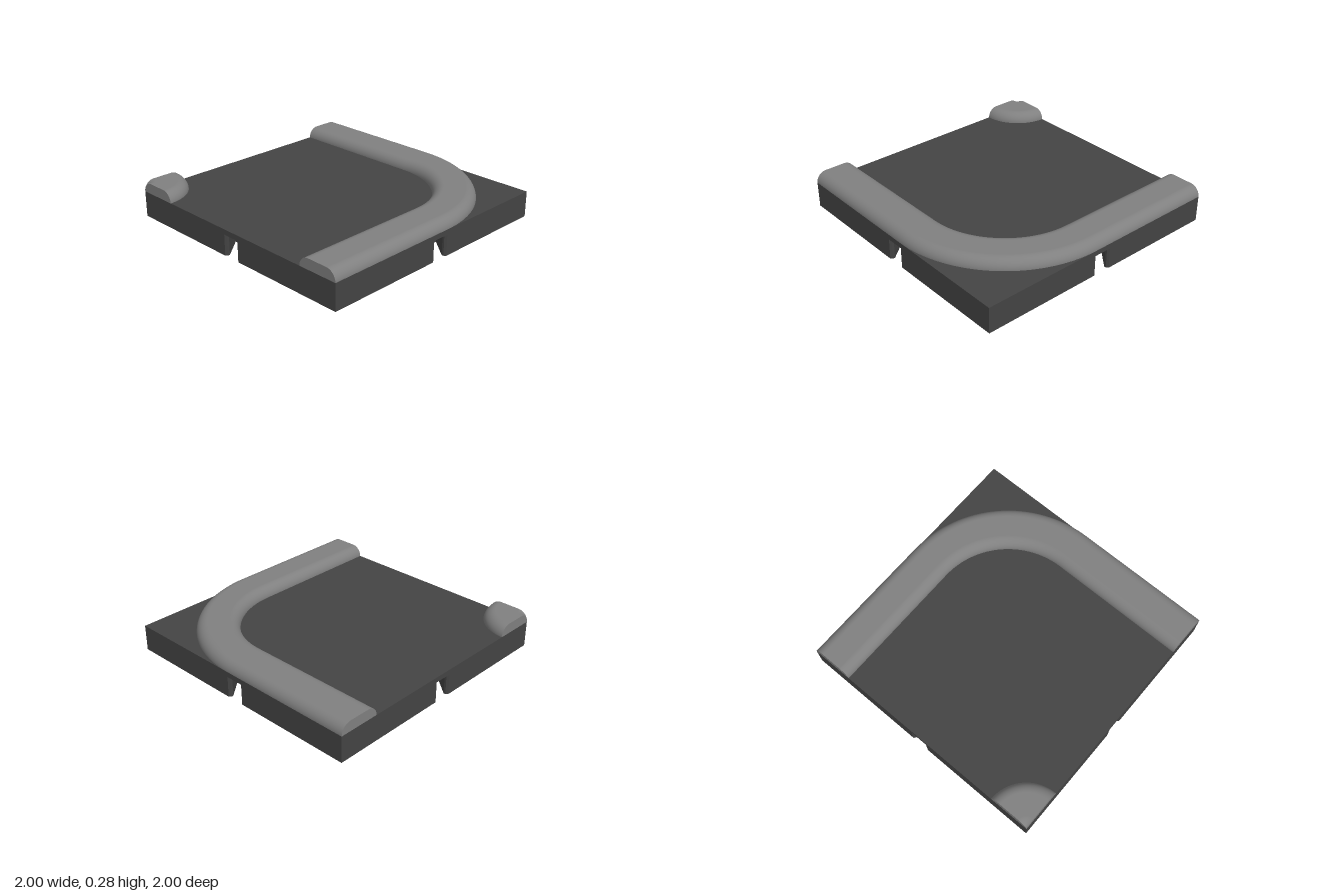
import * as THREE from 'three';

const BASE_TOP = 0.2, NOTCH_TOP = 0.16, KERB_WIDTH = 0.32, KERB_HEIGHT = 0.08;

// Kerb section from inner to outer edge: [offset, height, normal across, normal up]
function kerbSection(steps = 10) {
  const points = [];
  for (const centre of [KERB_HEIGHT, KERB_WIDTH - KERB_HEIGHT]) {
    const start = centre === KERB_HEIGHT ? Math.PI : Math.PI / 2;
    for (let i = 0; i <= steps; i++) {
      const a = start - (i / steps) * Math.PI / 2;
      const c = Math.cos(a), s = Math.sin(a);
      points.push([centre + KERB_HEIGHT * c, BASE_TOP + KERB_HEIGHT * s, c, s]);
    }
  }
  return points;
}

// Sweep the section along stations {x, z, angle}, with a flat cap on both ends
function sweepKerb(stations, innerRadius) {
  const section = kerbSection(), n = section.length;
  const position = [], normal = [], index = [];
  const addRing = (st, capNormal) => {
    const dx = Math.cos(st.angle), dz = Math.sin(st.angle);
    for (const [u, y, across, up] of section) {
      const r = innerRadius + u;
      position.push(st.x + dx * r, y, st.z + dz * r);
      normal.push(...(capNormal ?? [dx * across, up, dz * across]));
    }
  };
  stations.forEach((st) => addRing(st));
  for (let j = 0; j < stations.length - 1; j++) {
    for (let i = 0; i < n - 1; i++) {
      const a = j * n + i, b = a + n;
      index.push(a, a + 1, b, a + 1, b + 1, b);
    }
  }
  const first = stations.length * n, last = first + n;
  addRing(stations[0], [-1, 0, 0]);
  addRing(stations[stations.length - 1], [0, 0, -1]);
  for (let i = 1; i < n - 1; i++) {
    index.push(first, first + i + 1, first + i, last, last + i, last + i + 1);
  }
  const geometry = new THREE.BufferGeometry();
  geometry.setAttribute('position', new THREE.Float32BufferAttribute(position, 3));
  geometry.setAttribute('normal', new THREE.Float32BufferAttribute(normal, 3));
  geometry.setIndex(index);
  return geometry;
}

// Quarter turn around (x, z), from facing +z to facing +x
function quarterTurn(x, z, steps = 32) {
  return Array.from({ length: steps + 1 }, (_, i) => ({ x, z, angle: (1 - i / steps) * Math.PI / 2 }));
}

// Square outline with a flared connector notch in the middle of each side
function notchedSquare() {
  const side = [[-1, -1], [-0.07, -1], [-0.057, -0.985], [-0.057, -0.97], [-0.19, -0.81],
    [0.19, -0.81], [0.057, -0.97], [0.057, -0.985], [0.07, -1]];
  const points = [];
  for (let k = 0; k < 4; k++) {
    for (const [x, y] of side) {
      points.push(new THREE.Vector2(x, y).rotateAround(new THREE.Vector2(), k * Math.PI / 2));
    }
  }
  return new THREE.Shape(points);
}

export function createModel() {
  const model = new THREE.Group();
  model.name = 'trackCornerTile';
  const dark = new THREE.MeshStandardMaterial({ color: 0x444444 });
  const grey = new THREE.MeshStandardMaterial({ color: 0x808080 });
  const add = (name, geometry, material, parent = model) => {
    const mesh = new THREE.Mesh(geometry, material);
    mesh.name = name;
    parent.add(mesh);
    return mesh;
  };

  // Base: notched lower layer under a closed top layer
  const base = new THREE.Group();
  base.name = 'base';
  model.add(base);
  const lower = new THREE.ExtrudeGeometry(notchedSquare(), { depth: NOTCH_TOP, bevelEnabled: false });
  add('notchedLayer', lower.rotateX(-Math.PI / 2), dark, base);
  const thickness = BASE_TOP - NOTCH_TOP;
  add('topLayer', new THREE.BoxGeometry(2, thickness, 2), dark, base).position.y = NOTCH_TOP + thickness / 2;

  // Outer kerb: straight, quarter bend, straight
  const c = 0.07;
  const path = [{ x: -1, z: c, angle: Math.PI / 2 }, ...quarterTurn(c, c), { x: c, z: -1, angle: 0 }];
  add('outerKerb', sweepKerb(path, 1 - KERB_WIDTH - c), grey);

  // Inner kerb: the same section turned around the opposite corner
  add('innerCornerKerb', sweepKerb(quarterTurn(-1, -1), 0), grey);

  return model;
}
